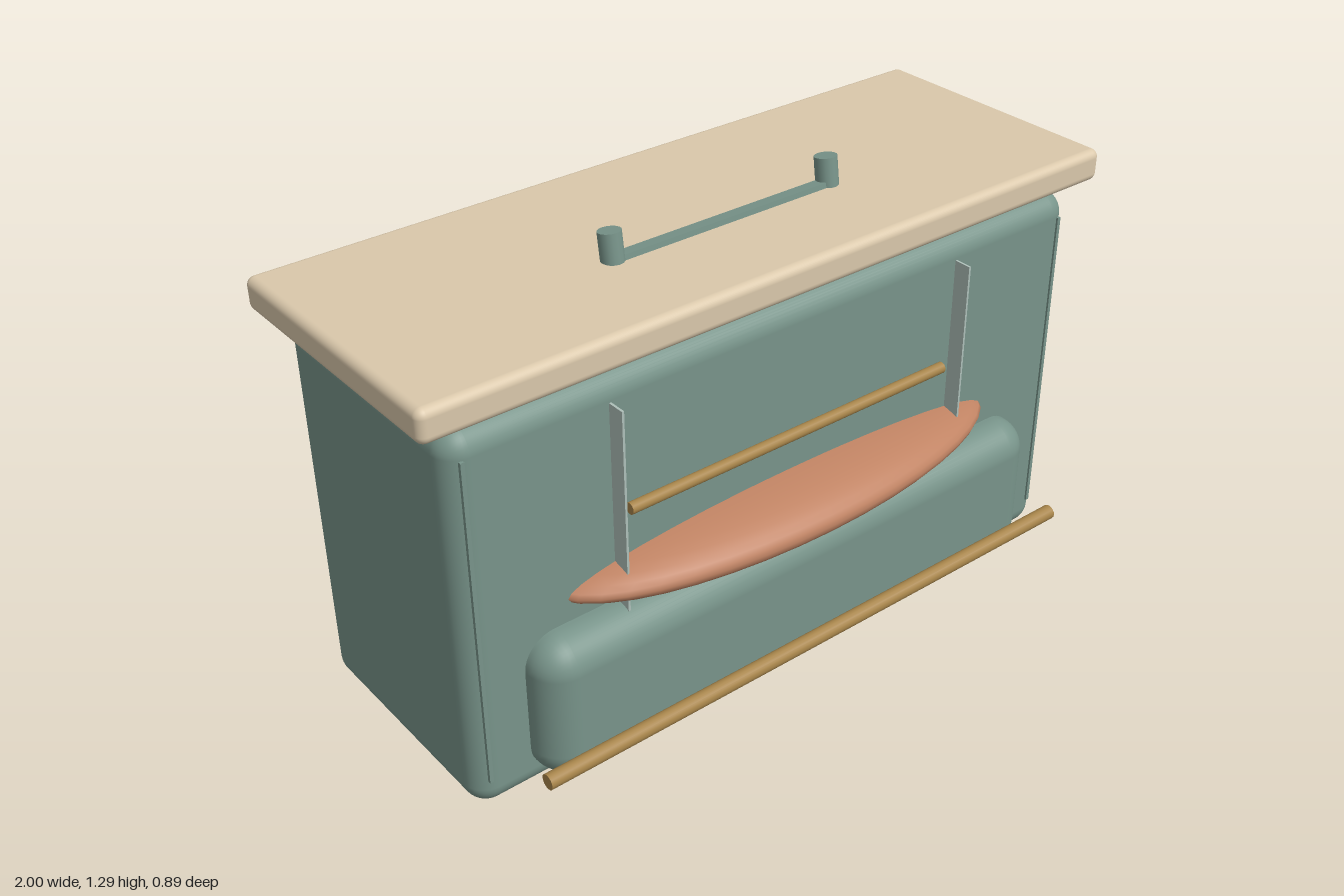
import * as THREE from 'three';
import { RoundedBoxGeometry } from 'three/addons/geometries/RoundedBoxGeometry.js';

export function createModel() {
  const group = new THREE.Group();
  const material = (name, color, side = THREE.FrontSide) => {
    const m = new THREE.MeshStandardMaterial({ color, side });
    m.name = name;
    return m;
  };
  const green = material('sage green', 0x78948a);
  const tan = material('warm tan', 0xdac8ab);
  const copper = material('copper', 0xc08363, THREE.DoubleSide);
  const brass = material('brass', 0xa8854a);
  const pale = material('pale grey green', 0xaebfb9);

  const add = (name, geometry, mat, x = 0, y = 0, z = 0) => {
    const mesh = new THREE.Mesh(geometry, mat);
    mesh.name = name;
    mesh.position.set(x, y, z);
    group.add(mesh);
    return mesh;
  };
  // Rounded box given by its limits on each axis
  const roundedBlock = (name, mat, [x0, x1], [y0, y1], [z0, z1], radius) =>
    add(name, new RoundedBoxGeometry(x1 - x0, y1 - y0, z1 - z0, 5, radius), mat,
      (x0 + x1) / 2, (y0 + y1) / 2, (z0 + z1) / 2);
  // Straight round bar between two points
  const bar = (name, mat, from, to, radius) => {
    const a = new THREE.Vector3(...from), b = new THREE.Vector3(...to);
    const dir = b.clone().sub(a);
    const mesh = add(name, new THREE.CylinderGeometry(radius, radius, dir.length(), 16), mat);
    mesh.position.copy(a).add(b).multiplyScalar(0.5);
    mesh.quaternion.setFromUnitVectors(new THREE.Vector3(0, 1, 0), dir.normalize());
    return mesh;
  };

  // Main case, top board and front pocket
  roundedBlock('body', green, [-0.935, 0.935], [0.083, 1.112], [-0.402, 0.28], 0.06);
  roundedBlock('topBoard', tan, [-1, 1], [1.135, 1.22], [-0.432, 0.308], 0.022);
  roundedBlock('frontPocket', green, [-0.785, 0.785], [0.125, 0.52], [0.1, 0.373], 0.085);

  // Curved panel wrapping the back
  const backPanel = new THREE.CylinderGeometry(1, 1, 0.69, 48, 1, true, Math.PI / 2 + 0.09, Math.PI - 0.18);
  backPanel.scale(0.82, 1, 0.446);
  add('backPanel', backPanel, copper, 0, 0.805, 0);

  // Flattened cushion above the pocket
  const cushion = new THREE.SphereGeometry(1, 40, 20);
  cushion.scale(0.68, 0.078, 0.215);
  add('frontCushion', cushion, copper, 0, 0.581, 0.23);

  // Brass rails
  bar('lowerRail', brass, [-0.83, 0.23, 0.415], [0.83, 0.23, 0.415], 0.02);
  bar('upperRail', brass, [-0.49, 0.76, 0.29], [0.49, 0.76, 0.29], 0.015);

  for (const side of [-1, 1]) {
    // Upright fins and shallow edge strips on the front
    add('frontFin', new THREE.BoxGeometry(0.006, 0.6, 0.065), pale, side * 0.525, 0.747, 0.294);
    add('edgeStrip', new THREE.BoxGeometry(0.01, 0.88, 0.03), green, side * 0.896, 0.61, 0.268);

    // Slanted posts running through the case, and rear legs
    bar('frontPost', green, [side * 0.323, 0.008, 0.191], [side * 0.323, 1.29, 0.013], 0.029);
    bar('rearLeg', green, [side * 0.323, 0.008, -0.193], [side * 0.323, 0.9, 0], 0.025);
  }

  // Crosspiece joining the posts
  const cross = add('handleCrosspiece', new THREE.BoxGeometry(0.62, 0.2, 0.036), green, 0, 1.132, 0.037);
  cross.rotation.x = -0.138;

  return group;
}
